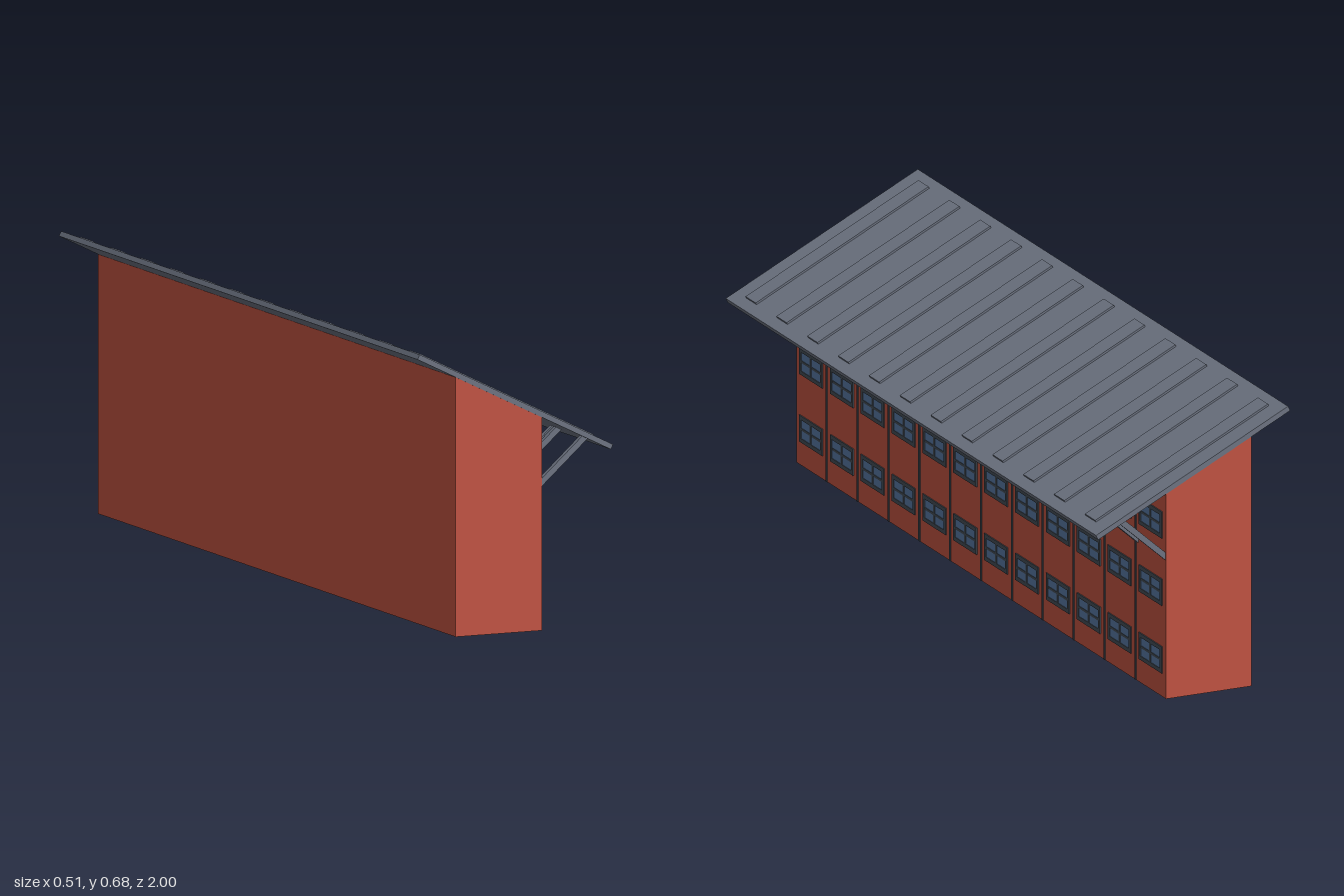
import * as THREE from 'three';

const BAYS = 12, PITCH = 2 / BAYS, WALL_X = 0.07;

function material(name, color) {
  const m = new THREE.MeshStandardMaterial({ color });
  m.name = name;
  return m;
}

export function createModel() {
  const brick = material('brick red', 0xbf5140);
  const slate = material('slate grey', 0x6b7280);
  const frameGrey = material('dark frame grey', 0x434c55);
  const glass = material('window blue', 0x5878a4);

  const model = new THREE.Group();
  model.name = 'rowBuilding';

  const box = (parent, name, mat, size, pos) => {
    const mesh = new THREE.Mesh(new THREE.BoxGeometry(...size), mat);
    mesh.name = name;
    mesh.position.set(...pos);
    parent.add(mesh);
    return mesh;
  };

  // Side profile swept along z
  const sweep = (parent, name, mat, points, depth, z) => {
    const shape = new THREE.Shape(points.map(([x, y]) => new THREE.Vector2(x, y)));
    const geo = new THREE.ExtrudeGeometry(shape, { depth, bevelEnabled: false });
    const mesh = new THREE.Mesh(geo, mat);
    mesh.name = name;
    mesh.position.z = z - depth / 2;
    parent.add(mesh);
  };

  // Brick body with a sloping top
  sweep(model, 'walls', brick,
    [[-0.154, 0], [WALL_X, 0], [WALL_X, 0.513], [-0.154, 0.624]], 1.996, 0);

  // Tilted roof slab with one raised panel per bay
  const roof = new THREE.Group();
  roof.name = 'roof';
  roof.position.set(0, 0.5505, 0);
  roof.rotation.z = -Math.atan(0.495);
  model.add(roof);
  box(roof, 'roofSlab', slate, [0.561, 0.0128, 2], [0, 0, 0]);
  for (let i = 0; i < BAYS; i++) {
    const z = 1 - (i + 0.5) * PITCH;
    box(roof, 'roofPanel', slate, [0.505, 0.005, 0.055], [-0.002, 0.0088, z]);
  }

  // Window: glass plate, outer frame, glazing bars
  const addWindow = (y, z) => {
    const win = new THREE.Group();
    win.name = 'window';
    win.position.set(WALL_X, y, z);
    model.add(win);
    const w = 0.124, h = 0.066, t = 0.010;
    box(win, 'glass', glass, [0.002, h - t, w - t], [0.0005, 0, 0]);
    for (const s of [-1, 1]) {
      box(win, 'frameRail', frameGrey, [0.003, t, w], [0.0015, s * (h - t) / 2, 0]);
      box(win, 'frameStile', frameGrey, [0.003, h - 2 * t, t], [0.0015, 0, s * (w - t) / 2]);
    }
    box(win, 'mullion', frameGrey, [0.0028, h - 2 * t, 0.008], [0.0014, 0, 0]);
    box(win, 'transom', frameGrey, [0.0026, 0.006, w - 2 * t], [0.0013, 0, 0]);
  };
  for (let i = 0; i < BAYS; i++) {
    for (const y of [0.091, 0.2585, 0.4255]) addWindow(y, 1 - (i + 0.5) * PITCH);
  }

  // Dividing strips and paired roof braces; only the inner half at the ends
  const braceProfile = [[WALL_X, 0.343], [0.191, 0.4505], [0.177, 0.4575], [WALL_X, 0.362]];
  for (let i = 0; i <= BAYS; i++) {
    const z = 1 - i * PITCH;
    if (i > 0 && i < BAYS) {
      box(model, 'wallStrip', frameGrey, [0.003, 0.511, 0.008], [WALL_X, 0.2555, z]);
    }
    for (const s of [-1, 1]) {
      const beamZ = z + s * 0.0105;
      if (Math.abs(beamZ) < 1) sweep(model, 'roofBrace', slate, braceProfile, 0.013, beamZ);
    }
  }
  return model;
}
